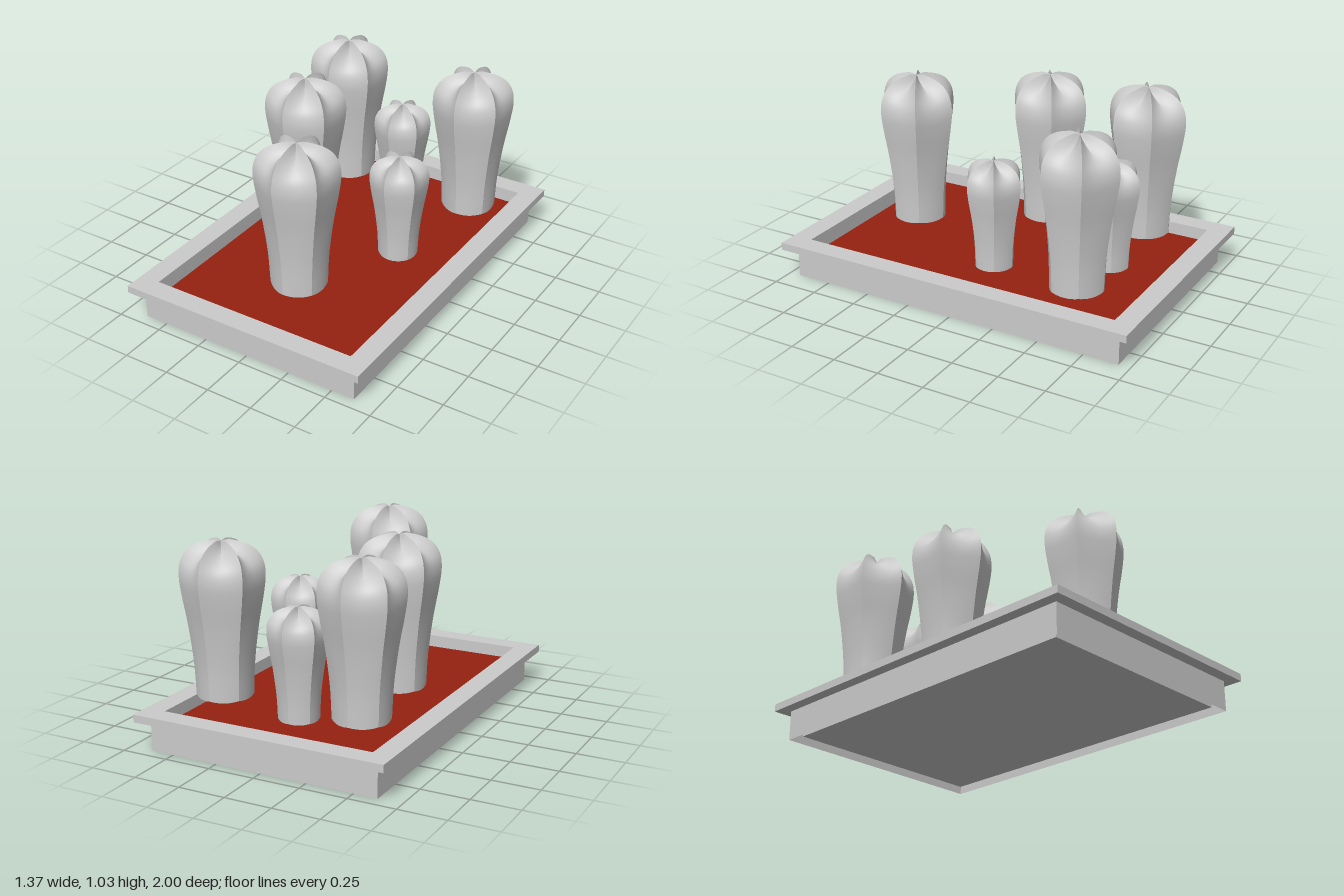
import * as THREE from 'three';
import { toCreasedNormals } from 'three/addons/utils/BufferGeometryUtils.js';

const grey = new THREE.MeshStandardMaterial({ color: 0xcccccc });
const greyThin = new THREE.MeshStandardMaterial({ color: 0xcccccc, side: THREE.DoubleSide });
const red = new THREE.MeshStandardMaterial({ color: 0x952110 });

function add(parent, name, geometry, material, x = 0, y = 0, z = 0) {
  const mesh = new THREE.Mesh(geometry, material);
  mesh.name = name;
  mesh.position.set(x, y, z);
  parent.add(mesh);
  return mesh;
}

// Four thin walls: a box without its top and bottom
function openBox(w, h, d) {
  const g = new THREE.BoxGeometry(w, h, d);
  const index = Array.from(g.index.array);
  g.setIndex([...index.slice(0, 12), ...index.slice(24, 36)]);
  g.clearGroups();
  return g;
}

// Flat rectangular frame standing on y = 0
function frame(hx, hz, ix, iz, h) {
  const rect = (P, x, z) => {
    const p = new P();
    p.moveTo(-x, -z);
    p.lineTo(x, -z);
    p.lineTo(x, z);
    p.lineTo(-x, z);
    p.closePath();
    return p;
  };
  const shape = rect(THREE.Shape, hx, hz);
  shape.holes.push(rect(THREE.Path, ix, iz));
  return new THREE.ExtrudeGeometry(shape, { depth: h, bevelEnabled: false }).rotateX(-Math.PI / 2);
}

// Smooth profile (radius, height) sampled into rows
function profile(points, rows) {
  const curve = new THREE.CatmullRomCurve3(points.map(([r, y]) => new THREE.Vector3(r, y, 0)));
  return Array.from({ length: rows + 1 }, (_, j) => curve.getPoint(j / rows));
}

// Six-ribbed cactus: sharp ribs, almost flat panels, notches between the ribs at the crown
function cactusGeometry() {
  const rows = 40, ribs = 6, seg = 12, n = ribs * seg;
  const rib = profile([[0.145, 0.008], [0.153, 0.175], [0.177, 0.375], [0.203, 0.525], [0.214, 0.625],
    [0.205, 0.695], [0.175, 0.747], [0.13, 0.779], [0.08, 0.796], [0.035, 0.804], [0, 0.797]], rows);
  const valley = profile([[0.135, 0], [0.14, 0.175], [0.157, 0.375], [0.176, 0.525], [0.181, 0.61],
    [0.168, 0.667], [0.138, 0.705], [0.1, 0.731], [0.058, 0.752], [0.022, 0.774], [0, 0.797]], rows);
  const pos = [], index = [], half = Math.PI / ribs;
  for (let j = 0; j <= rows; j++) {
    const power = THREE.MathUtils.lerp(2, 1.15, THREE.MathUtils.smoothstep(j / rows, 0.5, 0.9));
    for (let i = 0; i < n; i++) {
      const u = (i % seg) / seg * 2 - 1;
      const w = Math.abs(u) ** power;
      const mid = (Math.floor(i / seg) * 2 + 1) * half;
      const out = THREE.MathUtils.lerp(valley[j].x, rib[j].x * Math.cos(half), w);
      const side = u * rib[j].x * Math.sin(half);
      pos.push(out * Math.sin(mid) + side * Math.cos(mid),
        THREE.MathUtils.lerp(valley[j].y, rib[j].y, w),
        out * Math.cos(mid) - side * Math.sin(mid));
    }
  }
  const base = pos.length / 3;
  pos.push(0, 0.004, 0);
  for (let i = 0; i < n; i++) {
    const k = (i + 1) % n;
    index.push(base, k, i);
    for (let j = 0; j < rows; j++) {
      const a = j * n + i, b = j * n + k;
      index.push(a, b, b + n);
      if (j < rows - 1) index.push(a, b + n, a + n);
    }
  }
  const g = new THREE.BufferGeometry();
  g.setAttribute('position', new THREE.Float32BufferAttribute(pos, 3));
  g.setIndex(index);
  return toCreasedNormals(g, 0.42);
}

export function createModel() {
  const model = new THREE.Group();

  // Tray: outer skirt, inner trough hanging from the rim, soil sheet near the top
  const tray = new THREE.Group();
  tray.name = 'tray';
  model.add(tray);
  add(tray, 'outerWalls', openBox(1.25, 0.16, 1.876), greyThin, 0, 0.08, 0);
  add(tray, 'rim', frame(0.685, 1, 0.575, 0.888, 0.04), grey, 0, 0.16, 0);
  add(tray, 'troughWalls', openBox(1.15, 0.14, 1.776), greyThin, 0, 0.09, 0);
  add(tray, 'troughFloor', new THREE.BoxGeometry(1.15, 0.01, 1.776), grey, 0, 0.025, 0);
  add(tray, 'soil', new THREE.BoxGeometry(1.09, 0.006, 1.69), red, 0.005, 0.147, -0.005);

  // Cacti: x, base height, z, scale
  const cactus = cactusGeometry();
  const places = [
    [-0.37, 0.225, -0.6, 1], [0.405, 0.225, -0.6, 1], [-0.305, 0.225, -0.065, 1], [0.05, 0.225, 0.54, 1],
    [-0.01, 0.16, -0.578, 0.72], [0.275, 0.16, -0.058, 0.72],
  ];
  for (const [x, y, z, s] of places) {
    add(model, s === 1 ? 'largeCactus' : 'smallCactus', cactus, grey, x, y, z).scale.setScalar(s);
  }
  return model;
}
